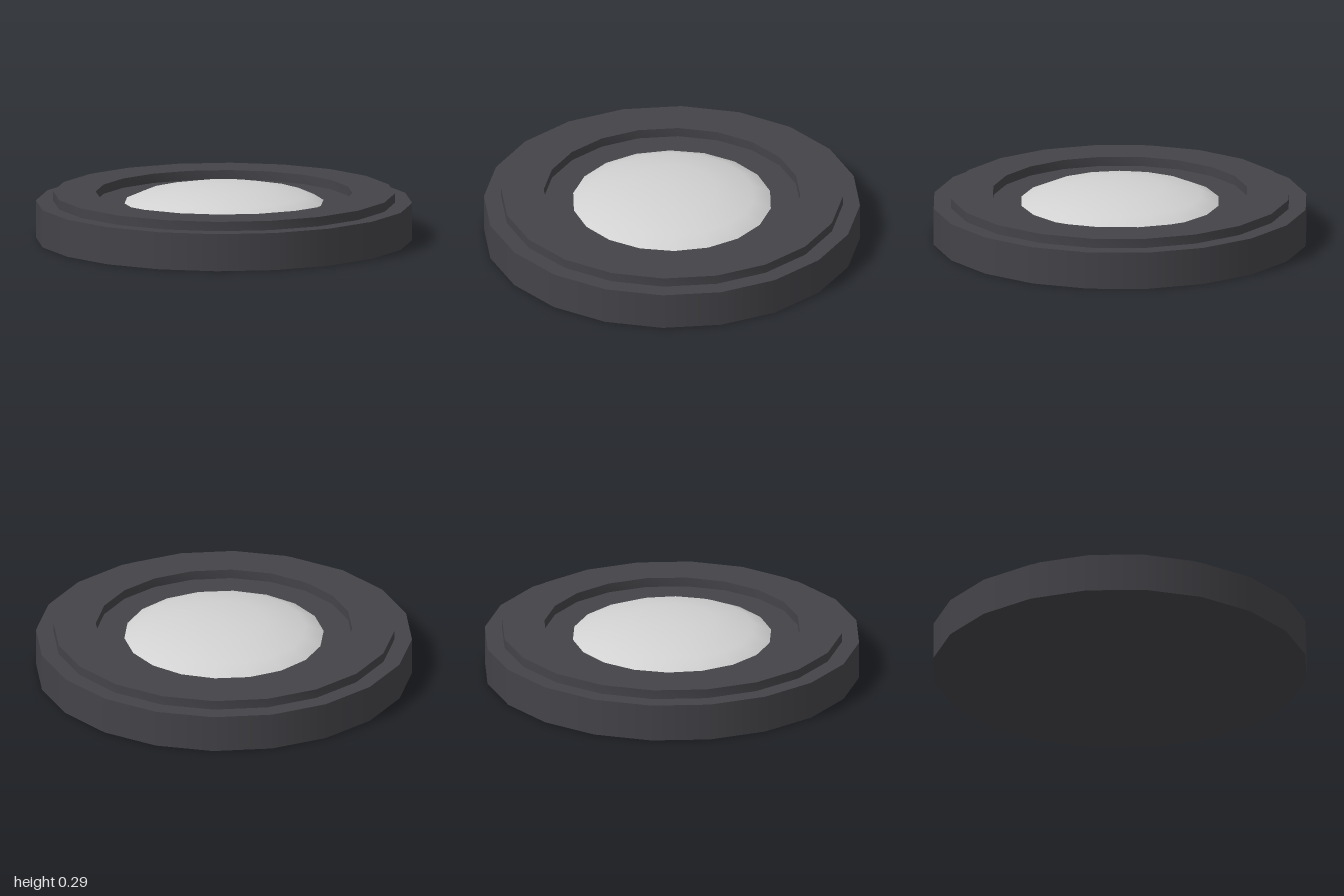
import * as THREE from 'three';
import { toCreasedNormals } from 'three/addons/utils/BufferGeometryUtils.js';

const SIDES = 20;

export function createModel() {
  const darkPlastic = new THREE.MeshStandardMaterial({ color: 0x444348 });
  darkPlastic.name = 'darkPlastic';
  const paleLens = new THREE.MeshStandardMaterial({ color: 0xd2d2d2 });
  paleLens.name = 'paleLens';

  const model = new THREE.Group();
  model.name = 'domedDisc';
  const add = (name, geometry, material, y = 0) => {
    const mesh = new THREE.Mesh(geometry, material);
    mesh.name = name;
    mesh.position.y = y;
    model.add(mesh);
    return mesh;
  };

  // Solid base disc
  add('base', new THREE.CylinderGeometry(1, 1, 0.2, SIDES), darkPlastic, 0.1);

  // Raised collar: outer wall, flat top, inner wall
  const profile = [[0.908, 0.2], [0.908, 0.25], [0.682, 0.25], [0.682, 0.2]]
    .map(([r, y]) => new THREE.Vector2(r, y));
  add('collar', toCreasedNormals(new THREE.LatheGeometry(profile, SIDES), 0.6), darkPlastic);

  // Shallow dome: upper cap of a flattened sphere, sunk into the base
  const cap = new THREE.SphereGeometry(0.62, 18, 3, 0, Math.PI * 2, 0, Math.PI * 0.375);
  cap.rotateY(Math.PI / 2);
  cap.scale(1, 0.184 / 0.62, 1);
  add('dome', cap, paleLens, 0.111);

  return model;
}
